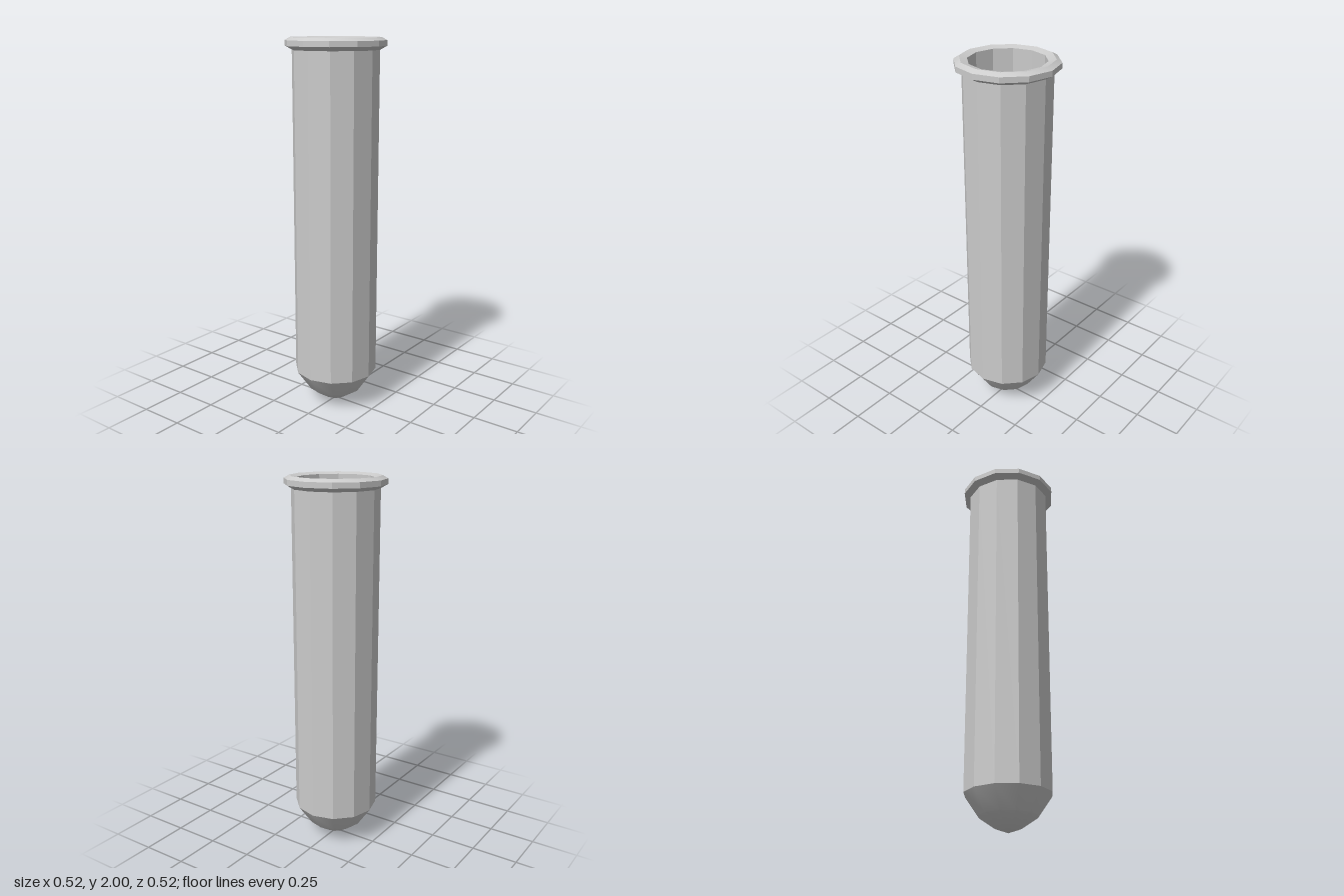
import * as THREE from 'three';
import { toCreasedNormals } from 'three/addons/utils/BufferGeometryUtils.js';

const SIDES = 12;

// Turn a profile of [radius, height] pairs into a faceted solid of revolution
function turned(name, profile, material) {
  const points = profile.map(([r, y]) => new THREE.Vector2(r, y));
  const geometry = toCreasedNormals(new THREE.LatheGeometry(points, SIDES), 0.5);
  const mesh = new THREE.Mesh(geometry, material);
  mesh.name = name;
  return mesh;
}

export function createModel() {
  const group = new THREE.Group();
  group.name = 'testTube';
  const material = new THREE.MeshStandardMaterial({ color: 0xcccccc });

  // Outer wall with rounded tip, flared lip, then the inner wall going down
  group.add(turned('tube', [
    [0, 0], [0.068, 0.024], [0.15, 0.08], [0.226, 0.19],
    [0.226, 1.937], [0.262, 1.957], [0.262, 1.985], [0.235, 2],
    [0.196, 1.99], [0.196, 0.2], [0.155, 0.14],
  ], material));

  // Flat floor closing the inside
  const floor = new THREE.Mesh(new THREE.CircleGeometry(0.155, SIDES), material);
  floor.name = 'innerFloor';
  floor.rotation.x = -Math.PI / 2;
  floor.position.y = 0.14;
  group.add(floor);

  return group;
}
